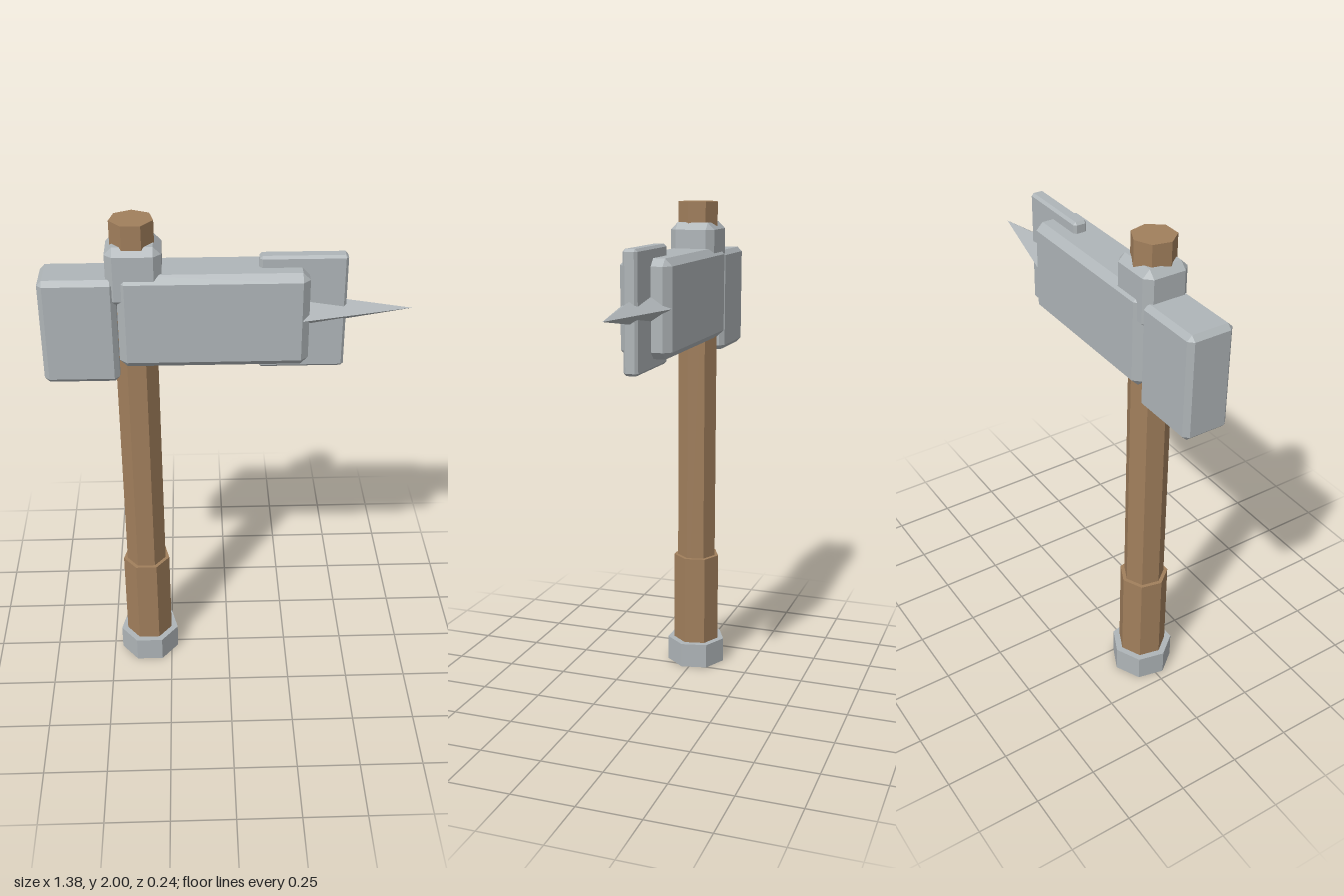
import * as THREE from 'three';
import { ConvexGeometry } from 'three/addons/geometries/ConvexGeometry.js';

const AXIS_X = -0.344; // handle axis
const MID_Z = 0.003;

// Faceted normals baked into the geometry
function faceted(geometry) {
  const g = geometry.index ? geometry.toNonIndexed() : geometry;
  g.computeVertexNormals();
  return g;
}

// Box with chamfered edges and corners, given by its extents
function chamferBox(x0, x1, y0, y1, depth, bevel) {
  const h = [(x1 - x0) / 2, (y1 - y0) / 2, depth / 2];
  const points = [];
  for (const sx of [-1, 1]) for (const sy of [-1, 1]) for (const sz of [-1, 1]) {
    for (let axis = 0; axis < 3; axis++) {
      const p = h.map((v, i) => (i === axis ? v : v - bevel));
      points.push(new THREE.Vector3(sx * p[0], sy * p[1], sz * p[2]));
    }
  }
  const g = new ConvexGeometry(points);
  g.translate((x0 + x1) / 2, (y0 + y1) / 2, MID_Z);
  return g;
}

// Seven-sided upright rod with a flat face to the front
function rod(radius, y0, y1) {
  const g = new THREE.CylinderGeometry(radius, radius, y1 - y0, 7, 1, false, Math.PI);
  g.translate(AXIS_X, (y0 + y1) / 2, MID_Z);
  return faceted(g);
}

export function createModel() {
  const group = new THREE.Group();
  group.name = 'warHammer';

  const steel = new THREE.MeshStandardMaterial({ color: 0xafb5b8 });
  steel.name = 'steel';
  const wood = new THREE.MeshStandardMaterial({ color: 0xa17f5c });
  wood.name = 'wood';

  const add = (name, geometry, material) => {
    const mesh = new THREE.Mesh(geometry, material);
    mesh.name = name;
    group.add(mesh);
  };

  // Handle
  add('shaft', rod(0.082, 0.05, 2), wood);
  add('grip', rod(0.098, 0.08, 0.49), wood);
  add('pommel', rod(0.125, 0, 0.105), steel);

  // Head
  add('mainBlock', chamferBox(-0.405, 0.297, 1.445, 1.815, 0.204, 0.028), steel);
  add('rearBlock', chamferBox(-0.69, -0.408, 1.383, 1.798, 0.184, 0.019), steel);
  add('collar', chamferBox(-0.443, -0.24, 1.69, 1.918, 0.184, 0.028), steel);
  add('bladePlate', chamferBox(0.115, 0.438, 1.405, 1.858, 0.056, 0.01), steel);

  // Four-sided spike pointing along +x
  const spike = new THREE.ConeGeometry(1, 1, 4);
  spike.rotateZ(-Math.PI / 2);
  spike.scale(0.416, 0.067, 0.102);
  spike.translate(0.48, 1.633, MID_Z);
  add('spike', faceted(spike), steel);

  return group;
}
